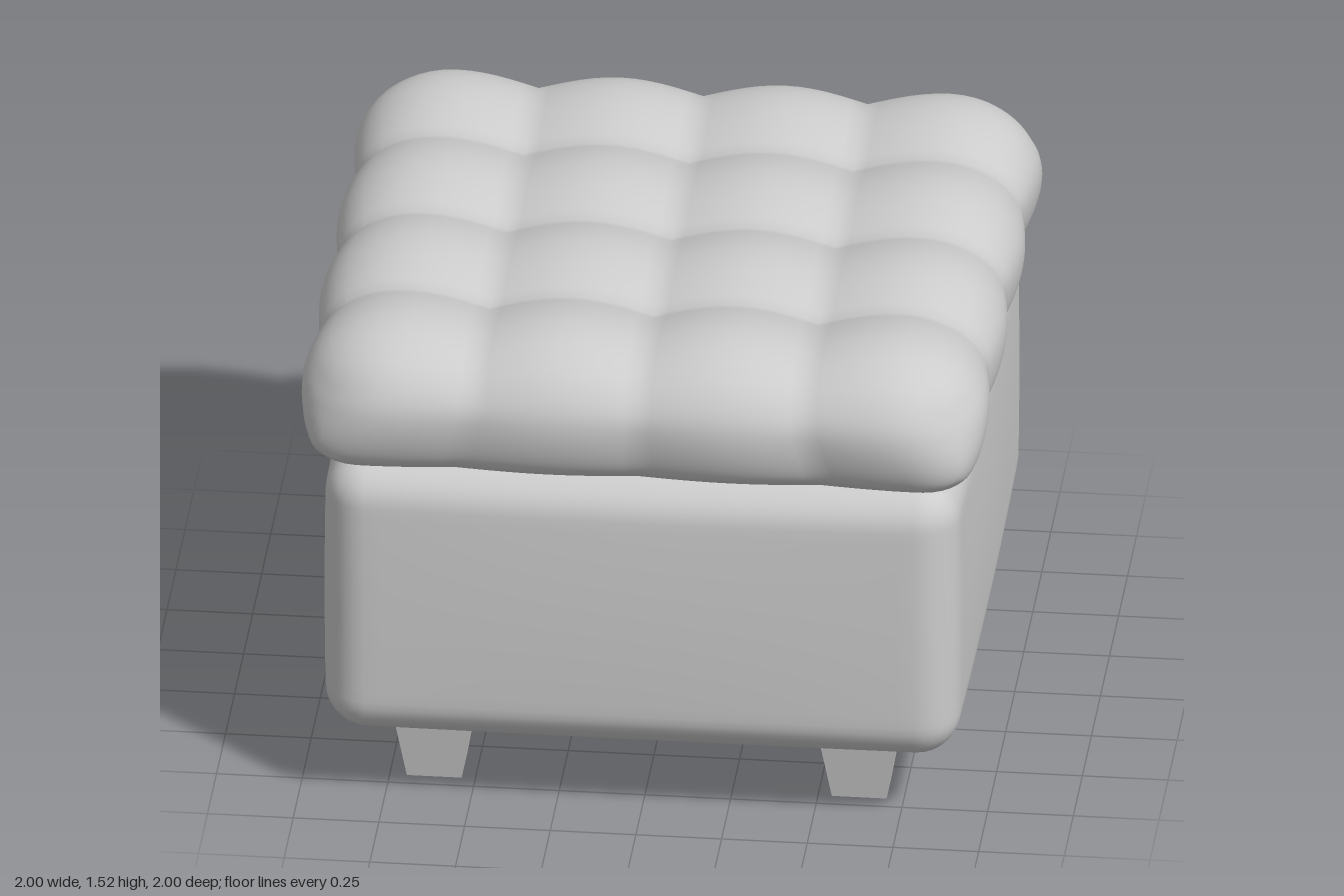
import * as THREE from 'three';
import { mergeVertices } from 'three/addons/utils/BufferGeometryUtils.js';

const material = new THREE.MeshStandardMaterial({ color: 0xcccccc });
const lerp = THREE.MathUtils.lerp;

// Smooth closed block: each vertex of a gridded cube (coordinates -1..1) is moved by rule(t)
function softBlock(name, segments, ySegments, rule) {
  let geometry = new THREE.BoxGeometry(2, 2, 2, segments, ySegments, segments);
  const position = geometry.attributes.position;
  const t = new THREE.Vector3();
  for (let i = 0; i < position.count; i++) {
    t.fromBufferAttribute(position, i);
    position.setXYZ(i, ...rule(t));
  }
  geometry.deleteAttribute('uv');
  geometry.deleteAttribute('normal');
  geometry = mergeVertices(geometry, 1e-5);
  geometry.computeVertexNormals();
  const mesh = new THREE.Mesh(geometry, material);
  mesh.name = name;
  return mesh;
}

// Rounded direction (0..1 per axis): zero on the flat core, curved beyond it
function roundDirection(t, core, coreY, power) {
  const zone = (v, c) => Math.max(0, (Math.abs(v) - c) / (1 - c));
  const e = [zone(t.x, core), zone(t.y, coreY), zone(t.z, core)];
  const length = Math.pow(e.reduce((sum, v) => sum + Math.pow(v, power), 0), 1 / power) || 1;
  return e.map((v) => v / length);
}

// Coordinate on one axis: linear across the core, then around the corner
function place(t, core, half, radius, d) {
  const inner = half - radius;
  return Math.sign(t) * (Math.min(Math.abs(t) / core, 1) * inner + radius * d);
}

// Cushion with four by four tufted pillows
function createCushion() {
  const core = 0.75;
  const seam = (t) => {
    const a = Math.abs(t) / core;
    return a < 1 ? 1 - Math.abs(Math.sin(a * 1.5 * Math.PI)) : 0;
  };
  return softBlock('cushion', 48, 24, (t) => {
    const low = THREE.MathUtils.smoothstep(-t.y, -0.5, 1);
    const radius = lerp(0.28, 0.2, low);
    const [dx, dy, dz] = roundDirection(t, core, 0, lerp(2, 2.6, low));
    const sx = seam(t.x), sz = seam(t.z);
    const top = t.y > 0;
    return [
      place(t.x, core, 1, radius, dx) - Math.sign(t.x) * dx * 0.03 * sz,
      1.3 + (top ? dy * (0.225 - 0.047 * (sx + sz)) : -dy * 0.197),
      place(t.z, core, 1, radius, dz) - Math.sign(t.z) * dz * 0.03 * sx,
    ];
  });
}

// Upholstered body with slightly bulging faces
function createBody() {
  const core = 0.8, coreY = 0.65;
  const bulge = (a, b) => (1 - a * a) * (1 - b * b);
  return softBlock('body', 40, 28, (t) => {
    const [dx, dy, dz] = roundDirection(t, core, coreY, 2);
    const out = (v, d, a, b) => Math.sign(v) * d * 0.02 * bulge(a, b);
    const y = place(t.y, coreY, 0.44, 0.12, dy);
    return [
      place(t.x, core, 0.922, 0.12, dx) + out(t.x, dx, t.y, t.z),
      0.667 + y + (t.y < 0 ? out(t.y, dy, t.x, t.z) : 0),
      place(t.z, core, 0.922, 0.12, dz) + out(t.z, dz, t.x, t.y),
    ];
  });
}

export function createModel() {
  const model = new THREE.Group();
  model.name = 'ottoman';
  model.add(createCushion(), createBody());

  // Tapered square feet
  const footGeometry = new THREE.CylinderGeometry(0.12 * Math.SQRT2, 0.08 * Math.SQRT2, 0.235, 4)
    .rotateY(Math.PI / 4).toNonIndexed();
  footGeometry.computeVertexNormals();
  for (const x of [-1, 1]) {
    for (const z of [-1, 1]) {
      const foot = new THREE.Mesh(footGeometry, material);
      foot.name = (z > 0 ? 'front' : 'back') + (x > 0 ? 'Left' : 'Right') + 'Foot';
      foot.position.set(x * 0.62, 0.1175, z * 0.62);
      model.add(foot);
    }
  }
  return model;
}
